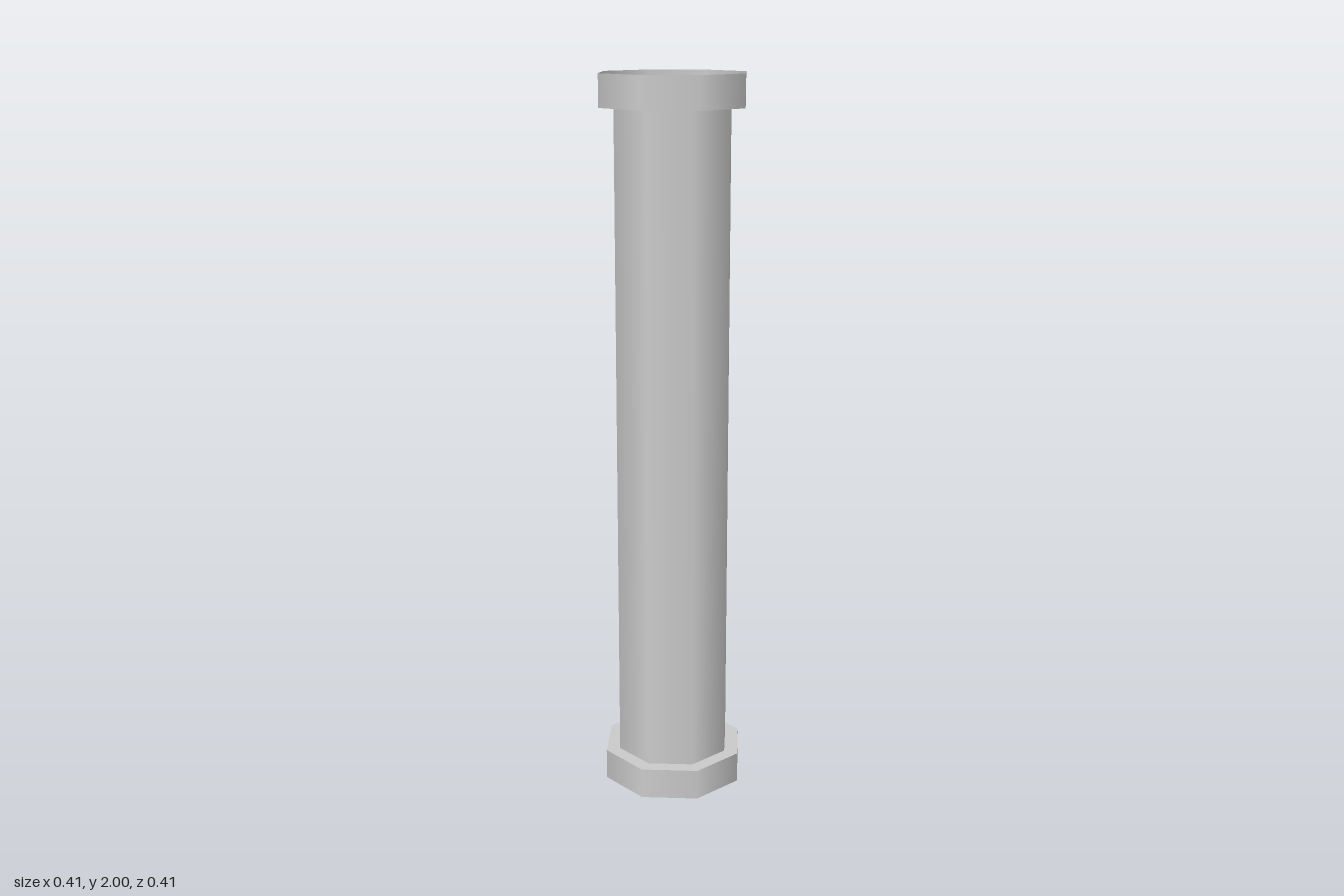
import * as THREE from 'three';

const SIDES = 8;
const HEIGHT = 2;
const TUBE_R = 0.164;
const COLLAR_R = 0.205;
const COLLAR_H = 0.087;

export function createModel() {
  const model = new THREE.Group();
  model.name = 'pipe';
  const material = new THREE.MeshStandardMaterial({ color: 0xcccccc, side: THREE.DoubleSide });

  const add = (parent, name, geometry, y) => {
    const mesh = new THREE.Mesh(geometry, material);
    mesh.name = name;
    mesh.position.y = y;
    parent.add(mesh);
  };
  // Thin octagonal sleeve, open at both ends
  const sleeve = (radius, height) =>
    new THREE.CylinderGeometry(radius, radius, height, SIDES, 1, true);

  // Hollow shaft between the two collars
  add(model, 'shaft', sleeve(TUBE_R, HEIGHT - 2 * COLLAR_H), HEIGHT / 2);

  // Open-ended collars, each joined to the shaft by a flat ledge
  for (const [name, sign] of [['topCollar', 1], ['bottomCollar', -1]]) {
    const collar = new THREE.Group();
    collar.name = name;
    const ledge = new THREE.RingGeometry(TUBE_R, COLLAR_R, SIDES).rotateX(-sign * Math.PI / 2);
    add(collar, 'collarWall', sleeve(COLLAR_R, COLLAR_H), sign * COLLAR_H / 2);
    add(collar, 'collarLedge', ledge, 0);
    collar.position.y = HEIGHT / 2 + sign * (HEIGHT / 2 - COLLAR_H);
    model.add(collar);
  }
  return model;
}
